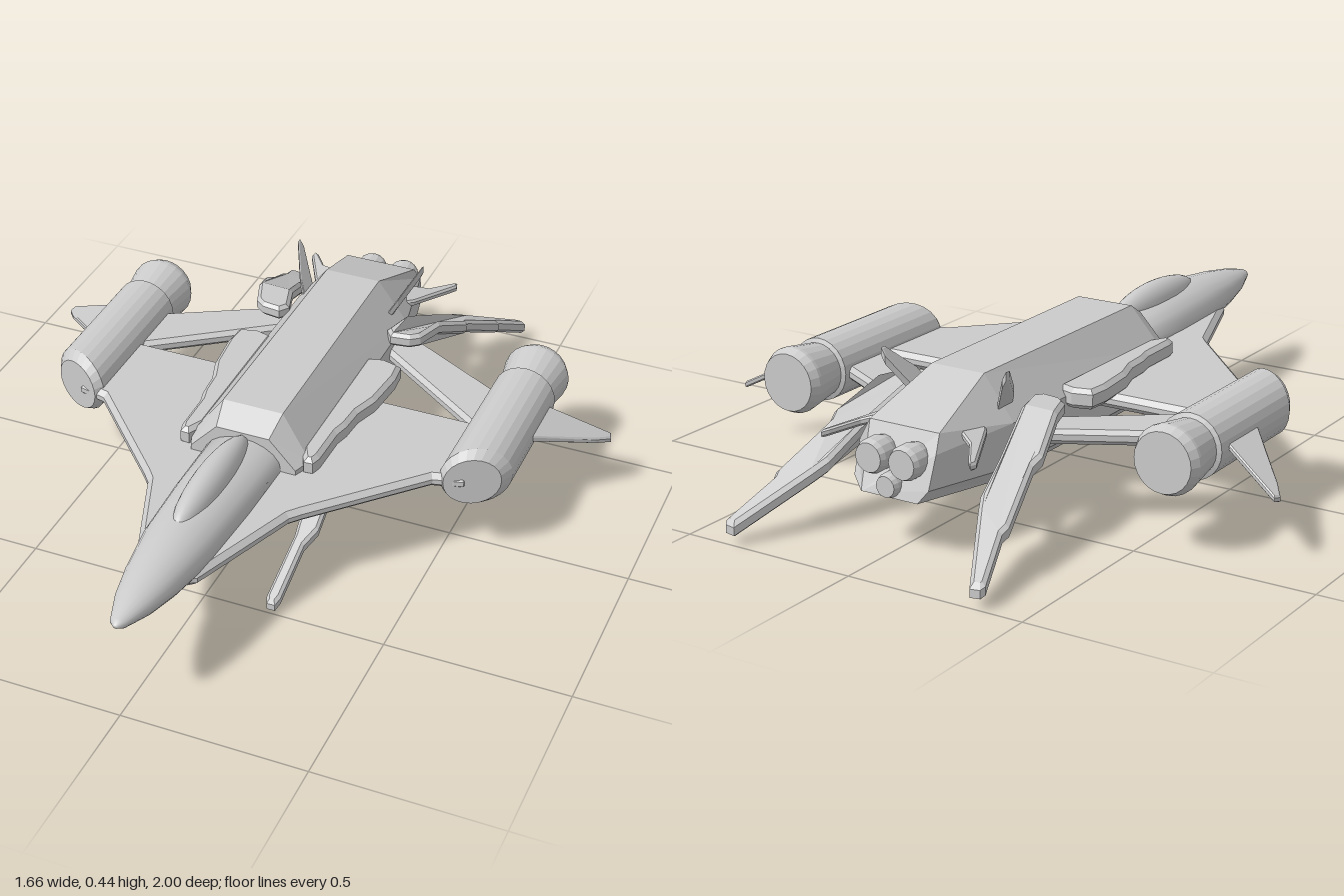
import * as THREE from 'three';

const flat = new THREE.MeshStandardMaterial({ color: 0xcccccc, flatShading: true, side: THREE.DoubleSide });
const smooth = new THREE.MeshStandardMaterial({ color: 0xcccccc, side: THREE.DoubleSide });

export function createModel() {
  const model = new THREE.Group();

  function add(name, geometry, material = flat) {
    const mesh = new THREE.Mesh(geometry, material);
    mesh.name = name;
    model.add(mesh);
    return mesh;
  }

  // Bevelled plate from an [x, z] outline; base(x, z) gives the height of its underside
  function plate(name, side, outline, thickness, base, bevel = 0.008) {
    const shape = new THREE.Shape(outline.map(([x, z]) => new THREE.Vector2(x * side, -z)));
    const g = new THREE.ExtrudeGeometry(shape, {
      depth: thickness - 2 * bevel, bevelEnabled: bevel > 0, bevelThickness: bevel,
      bevelSize: bevel, bevelOffset: -bevel, bevelSegments: 1,
    });
    g.rotateX(-Math.PI / 2);
    const p = g.attributes.position;
    for (let i = 0; i < p.count; i++) {
      p.setY(i, p.getY(i) + bevel + base(Math.abs(p.getX(i)), p.getZ(i)));
    }
    g.computeVertexNormals();
    return add(name, g);
  }

  // Skin over closed rings of [x, y, z], listed front to back, with end caps
  function loft(rings) {
    const n = rings[0].length, index = [];
    for (let i = 0; i < rings.length - 1; i++) {
      for (let j = 0; j < n; j++) {
        const a = i * n + j, b = i * n + (j + 1) % n;
        index.push(a, a + n, b, b, a + n, b + n);
      }
    }
    const last = (rings.length - 1) * n;
    for (let j = 1; j < n - 1; j++) {
      index.push(0, j, j + 1, last, last + j + 1, last + j);
    }
    const g = new THREE.BufferGeometry();
    g.setAttribute('position', new THREE.Float32BufferAttribute(rings.flat(2), 3));
    g.setIndex(index);
    g.computeVertexNormals();
    return g;
  }

  // Main hull: eight-sided, chamfered at the front, tapering to a raked tail
  const hullRing = (half) => [...half, ...half.slice().reverse().map(([x, y, z]) => [-x, y, z])];
  add('hull', loft([
    [[0.11, 0.155, 0.25], [0.15, 0.185, 0.25], [0.15, 0.28, 0.25], [0.075, 0.36, 0.25]],
    [[0.125, 0.13, 0.19], [0.17, 0.17, 0.2], [0.17, 0.285, 0.2], [0.085, 0.4, 0.18]],
    [[0.125, 0.13, -0.56], [0.168, 0.17, -0.53], [0.168, 0.285, -0.53], [0.08, 0.4, -0.53]],
    [[0.085, 0.15, -0.83], [0.112, 0.185, -0.82], [0.115, 0.27, -0.79], [0.105, 0.315, -0.76]],
  ].map(hullRing)));

  // Nose: z, half width, top, bottom, height of the widest line
  const noseRings = [
    [1.0, 0.006, 0.292, 0.282, 0.287], [0.985, 0.022, 0.302, 0.272, 0.287],
    [0.9, 0.052, 0.322, 0.245, 0.284], [0.8, 0.074, 0.338, 0.225, 0.28],
    [0.65, 0.096, 0.354, 0.205, 0.276], [0.45, 0.106, 0.352, 0.192, 0.272],
    [0.2, 0.11, 0.342, 0.185, 0.27],
  ].map(([z, w, top, bottom, mid]) => Array.from({ length: 20 }, (_, i) => {
    const a = i / 20 * Math.PI * 2, s = Math.sin(a);
    return [w * Math.cos(a), mid + s * (s > 0 ? top - mid : mid - bottom), z];
  }));
  add('nose', loft(noseRings), smooth);

  // Canopy
  const canopy = new THREE.SphereGeometry(1, 24, 16);
  canopy.scale(0.047, 0.06, 0.215);
  add('canopy', canopy, smooth).position.set(0, 0.332, 0.45);

  // Tail nozzles: an upper pair and one lower
  for (const [x, y, r] of [[-0.05, 0.248, 0.045], [0.05, 0.248, 0.045], [0, 0.182, 0.032]]) {
    const g = new THREE.LatheGeometry([
      [0, -0.845], [r * 0.85, -0.845], [r, -0.83], [r, -0.795], [r * 0.8, -0.76], [0, -0.75],
    ].map(([a, b]) => new THREE.Vector2(a, b)), 16);
    g.rotateX(Math.PI / 2);
    add('tailNozzle', g).position.set(x, y, 0);
  }

  for (const side of [1, -1]) {
    const label = side > 0 ? 'left' : 'right';

    // Wing with forward strake
    plate(label + 'Wing', side, [
      [0.05, 0.74], [0.085, 0.72], [0.2, 0.41], [0.225, 0.38], [0.48, 0.11],
      [0.56, 0.09], [0.56, -0.165], [0.05, -0.165],
    ], 0.042, () => 0.225, 0.014);

    // Diagonal strut from tail to engine pod
    plate(label + 'Strut', side, [
      [0.1, -0.555], [0.1, -0.445], [0.49, -0.16], [0.58, -0.16], [0.58, -0.295],
    ], 0.04, () => 0.225, 0.012);

    // Engine pod with a raked intake face and a flared exhaust
    const pod = new THREE.LatheGeometry([
      [0, -0.5], [0.08, -0.5], [0.092, -0.475], [0.092, -0.465], [0.076, -0.365],
      [0.088, -0.36], [0.088, 0.045], [0.07, 0.075], [0, 0.075],
    ].map(([r, z]) => new THREE.Vector2(r, z)), 24);
    pod.rotateX(Math.PI / 2);
    const p = pod.attributes.position;
    for (let i = 0; i < p.count; i++) {
      if (p.getZ(i) > 0) p.setZ(i, p.getZ(i) - side * p.getX(i) * 0.47);
    }
    pod.computeVertexNormals();
    add(label + 'EnginePod', pod).position.set(side * 0.578, 0.25, 0);

    // Drooping fin outboard of the pod
    plate(label + 'PodFin', side, [
      [0.64, -0.14], [0.64, -0.305], [0.66, -0.32], [0.825, -0.385], [0.832, -0.365], [0.8, -0.32],
    ], 0.018, (x) => 0.25 - (x - 0.65) * 0.52, 0.004);

    // Folded arm lying along the hull above the wing
    plate(label + 'FoldedArm', side, [
      [0.14, -0.28], [0.19, -0.295], [0.245, -0.28], [0.25, -0.22], [0.238, -0.1], [0.215, -0.03],
      [0.21, 0.04], [0.2, 0.08], [0.198, 0.2], [0.19, 0.228], [0.165, 0.23], [0.14, 0.18],
    ], 0.055, () => 0.257, 0.012);

    // Front leg reaching down and forward
    plate(label + 'FrontLeg', side, [
      [0.165, 0.475], [0.172, 0.492], [0.195, 0.492], [0.202, 0.47], [0.205, 0.32], [0.225, 0.27],
      [0.222, 0.2], [0.242, 0.06], [0.235, -0.02], [0.2, -0.05], [0.165, -0.03], [0.155, 0.18], [0.17, 0.3],
    ], 0.034, (x, z) => (0.492 - z) * 0.43, 0.008);

    // Rear leg reaching down and backward
    plate(label + 'RearLeg', side, [
      [0.15, -0.42], [0.17, -0.392], [0.225, -0.4], [0.25, -0.42], [0.278, -0.5], [0.318, -0.63],
      [0.31, -0.66], [0.352, -0.83], [0.346, -0.85], [0.389, -0.985], [0.382, -0.997], [0.354, -1],
      [0.25, -0.81], [0.23, -0.77], [0.212, -0.66], [0.173, -0.5],
    ], 0.042, (x, z) => Math.min(0.285, 0.02 + (z + 1) * 0.545), 0.01);

    // Small upright blade on the hull shoulder
    plate(label + 'UprightBlade', side, [
      [0.125, -0.475], [0.15, -0.5], [0.19, -0.58], [0.19, -0.595], [0.178, -0.595], [0.125, -0.54],
    ], 0.03, (x) => 0.3 + (x - 0.125) * 1.75, 0.004);

    // Swept tail fin
    plate(label + 'TailFin', side, [
      [0.1, -0.56], [0.155, -0.63], [0.23, -0.785], [0.225, -0.805], [0.21, -0.79], [0.165, -0.72], [0.1, -0.68],
    ], 0.02, (x) => 0.285 - (x - 0.12) * 0.3, 0.005);
  }

  return model;
}
